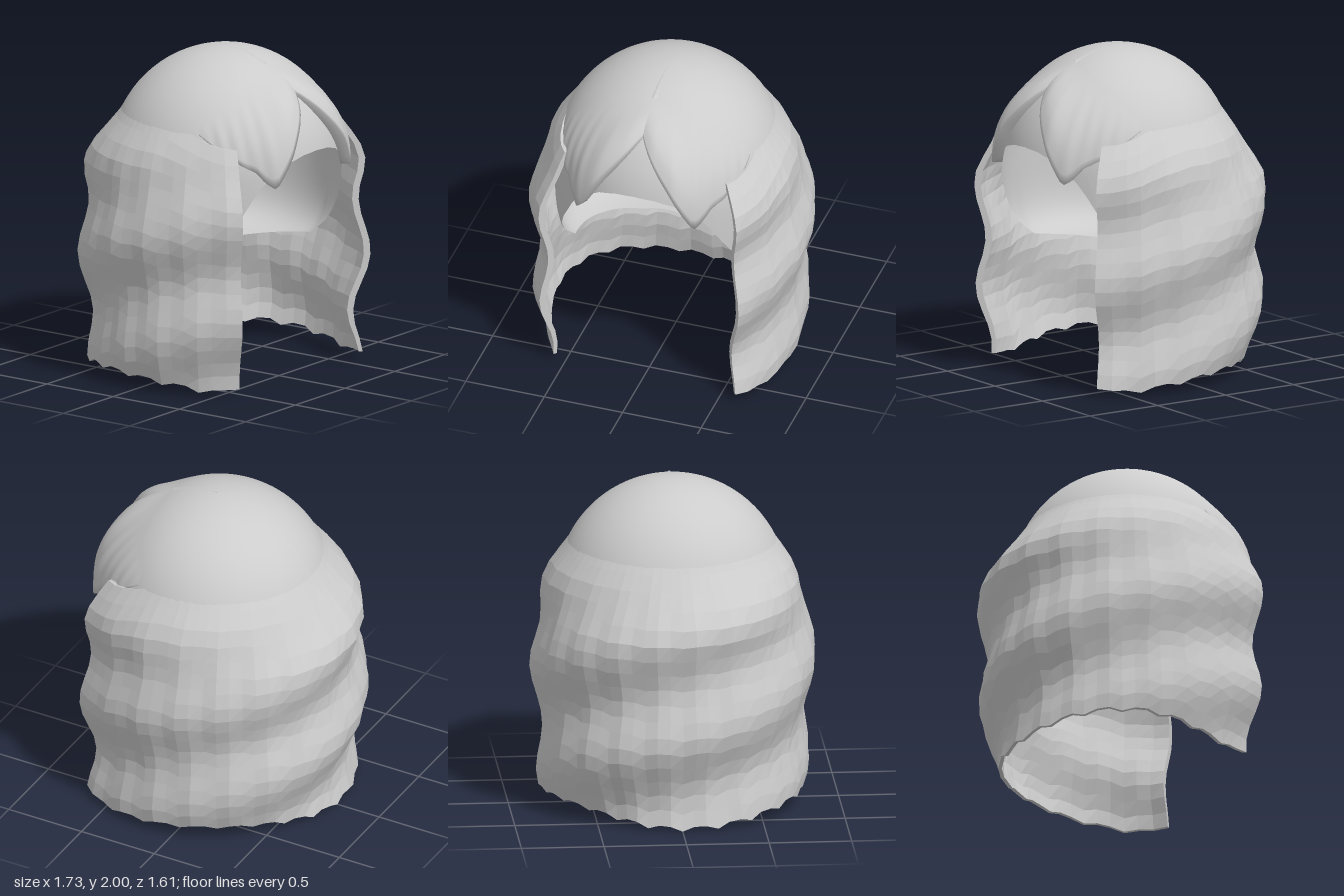
import * as THREE from 'three';

const rad = THREE.MathUtils.degToRad;
const smooth = THREE.MathUtils.smoothstep;

// linear lookup in a short list of [key, value] pairs
function lookup(table, k) {
  for (let i = 1; i < table.length; i++) {
    if (k <= table[i][0]) {
      const [a, va] = table[i - 1], [b, vb] = table[i];
      return va + (vb - va) * (k - a) / (b - a);
    }
  }
  return table[table.length - 1][1];
}

// surface through a grid of points f(i, j)
function gridGeometry(nu, nv, f, faceted) {
  const pos = [], index = [];
  for (let i = 0; i <= nu; i++) for (let j = 0; j <= nv; j++) pos.push(...f(i, j));
  for (let i = 0; i < nu; i++) for (let j = 0; j < nv; j++) {
    const a = i * (nv + 1) + j, b = a + nv + 1;
    index.push(a, a + 1, b, b, a + 1, b + 1);
  }
  let g = new THREE.BufferGeometry();
  g.setAttribute('position', new THREE.Float32BufferAttribute(pos, 3));
  g.setIndex(index);
  if (faceted) g = g.toNonIndexed();
  g.computeVertexNormals();
  return g;
}

// Skull shape: s = 1 top, 0 widest ring, -1 flattened bottom; phi in degrees from the front
const CAP_Z = 0.1, CAP_Y = 1.3, CAP_R = 0.7;
function capPoint(phi, s, offset = 0) {
  let r, y;
  if (s >= 0) {
    const e = s * Math.PI / 2;
    r = (CAP_R + offset) * Math.cos(e);
    y = CAP_Y + (CAP_R + offset) * Math.sin(e);
  } else {
    const t = smooth(-s, 0, 1) * Math.PI / 2;
    r = CAP_R * Math.pow(Math.cos(t), 0.42) + offset;
    y = CAP_Y - 0.6 * Math.pow(Math.sin(t), 0.42);
  }
  return [r * Math.sin(rad(phi)), y, CAP_Z + r * Math.cos(rad(phi))];
}

// distance from the y axis to the skull at height y, at angle a from the front
function capReach(y, a) {
  const h = (y - CAP_Y) / CAP_R;
  const r = y > CAP_Y ? CAP_R * Math.sqrt(Math.max(0, 1 - h * h)) : CAP_R;
  const c = CAP_Z * Math.cos(a), q = CAP_Z * Math.sin(a);
  return c + Math.sqrt(Math.max(0, r * r - q * q));
}

// Face opening: where the cap ends for each angle from the front
const CAP_END = [[0, 0.138], [10, 0.13], [20, 0.1], [30, 0.03], [35, -0.008], [40, -0.055],
  [45, -0.125], [50, -0.195], [57, -0.32], [65, -0.54], [75, -0.58], [90, -0.635],
  [130, -0.8], [180, -0.875]];

// Bangs: top line, bottom line and thickness over the angle from the front
const BANG_TOP = [[0, 0.72], [30, 0.64], [68, 0.36]];
const BANG_END = [[0, 0.48], [9, 0.33], [17, 0.2], [25, 0.05], [28, 0], [31, -0.01],
  [34, 0.02], [38, 0.07], [45, 0.11], [55, 0.18], [68, 0.28]];
const BANG_LIFT = [[0, 0.018], [8, 0.045], [20, 0.07], [31, 0.055], [38, 0.028], [50, 0.014], [68, 0]];

// Curtain of wavy hair: t = 0 at the model's left front edge, 0.5 back, 1 right front edge
const FRONT_EDGE = 42;
const turnAt = t => (t - 0.5) * 2 * (180 - FRONT_EDGE);
const angleAt = t => rad(180 + turnAt(t));
function curtainRadius(t, y) {
  const k = Math.abs(t - 0.5) * 2;
  // wave crests climb in a spiral around the head
  const crest = 0.68 + 1.09 * t;
  const wave = 0.036 * Math.cos(2 * Math.PI * (y - crest) / 0.67);
  const lock = 0.006 * Math.sin(t * 95 + y * 2);
  const tuck = 0.04 * smooth(0.6 - y, 0, 0.4) + 0.03 * (1 - k) * smooth(0.3 - y, 0, 0.3);
  const full = 0.77 + 0.125 * k * k + 0.02 * smooth(k, 0.85, 1) + wave + lock - tuck;
  const blend = smooth(1.66 - y, 0, 0.5);
  const onSkull = capReach(y, angleAt(t)) - 0.01 + 0.018 * smooth(k, 0.8, 1);
  return THREE.MathUtils.lerp(onSkull, full, blend);
}

function curtainGeometry() {
  const cols = 48, rows = 17, ring = 2 * rows + 2;
  return gridGeometry(cols + 2, ring, (i, j) => {
    const c = Math.min(Math.max(i - 1, 0), cols), t = c / cols;
    const k = Math.abs(t - 0.5) * 2, a = angleAt(t);
    const top = 1.66 - 0.14 * smooth(k, 0.7, 1);
    const side = Math.pow(Math.sin(Math.PI * Math.min(1, k * 0.95)), 2);
    const jag = c % 3 === 0 ? -0.016 : 0.01;
    const bottom = 0.016 + 0.08 * side + jag + 0.05 * smooth(k, 0.94, 1);
    const point = (row, inner) => {
      const y = top + (bottom - top) * row / rows;
      const out = curtainRadius(t, y);
      const skull = y > 0.75 ? capReach(y, a) + 0.003 : 0;
      const thickness = 0.022 + 0.018 * smooth(y, 0, 0.4);
      const r = inner ? Math.max(out - thickness, Math.min(out, skull)) : out;
      return [r * Math.sin(a), y, r * Math.cos(a)];
    };
    // down the outside, up the inside, back to the start
    const jj = j === ring ? 0 : j;
    const inner = jj > rows, row = inner ? ring - 1 - jj : jj;
    const p = point(row, inner);
    if (i > 0 && i < cols + 2) return p;
    // close the two front edges
    const q = point(row, !inner);
    return p.map((v, n) => (v + q[n]) / 2);
  }, true);
}

export function createModel() {
  const model = new THREE.Group();
  model.name = 'wig';
  const hair = new THREE.MeshStandardMaterial({ color: 0xcccccc, side: THREE.DoubleSide });
  hair.name = 'pale grey hair';
  const add = (name, geometry) => {
    const mesh = new THREE.Mesh(geometry, hair);
    mesh.name = name;
    model.add(mesh);
  };

  // Rounded cap with the face opening
  add('cap', gridGeometry(72, 36, (i, j) => {
    const phi = 180 - i * 5;
    const end = lookup(CAP_END, Math.abs(phi));
    return capPoint(phi, 1 + (end - 1) * j / 36);
  }));

  // Long wavy hair around the sides and back
  add('hairCurtain', curtainGeometry());

  // Two swept bangs with a tucked lower rim
  for (const side of [1, -1]) {
    add(side > 0 ? 'leftBang' : 'rightBang', gridGeometry(34, 15, (i, j) => {
      const phi = i * 2, v = Math.min(j, 14) / 14;
      const top = lookup(BANG_TOP, phi), end = lookup(BANG_END, phi);
      const strand = 0.004 * Math.sin(phi * 0.75 + v * 5) * smooth(phi, 20, 35) * (1 - smooth(phi, 55, 68));
      const lift = j === 15 ? -0.004 : 0.001 + (lookup(BANG_LIFT, phi) + strand) * smooth(v, 0, 0.8);
      const p = capPoint(phi, top + (end - top) * v, lift);
      return [side * p[0], p[1], p[2]];
    }));
  }

  // Small raised parting on the crown
  add('parting', gridGeometry(8, 2, (i, j) => {
    const u = i / 8, e = Math.PI / 2 - u * 0.46;
    const r = CAP_R + (j === 1 ? 0.012 * u : -0.004);
    return [(j - 1) * 0.022 * u, CAP_Y + r * Math.sin(e), CAP_Z + r * Math.cos(e)];
  }));

  return model;
}
